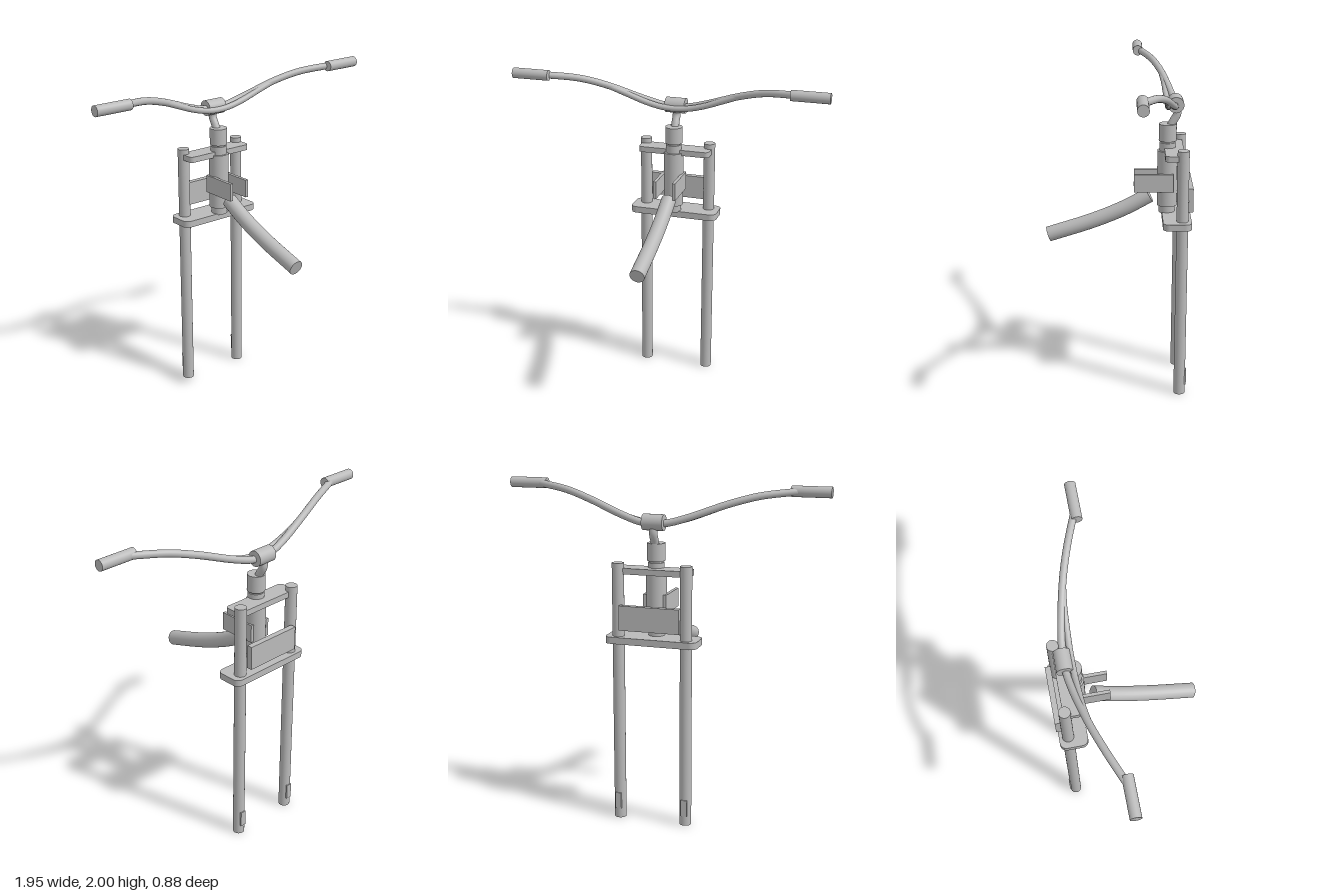
import * as THREE from 'three';

export function createModel() {
  const model = new THREE.Group();
  model.name = 'forkAssembly';
  const grey = new THREE.MeshStandardMaterial({ color: 0xbababa });
  grey.name = 'plain grey';

  const add = (name, geometry, x = 0, y = 0, z = 0, parent = model) => {
    const mesh = new THREE.Mesh(geometry, grey);
    mesh.name = name;
    mesh.position.set(x, y, z);
    parent.add(mesh);
    return mesh;
  };
  const box = (name, w, h, d, x, y, z) => add(name, new THREE.BoxGeometry(w, h, d), x, y, z);
  // upright cylinder between two heights
  const post = (name, r, y0, y1, x, z) =>
    add(name, new THREE.CylinderGeometry(r, r, y1 - y0, 32), x, (y0 + y1) / 2, z);
  // cylinder lying along x
  const bar = (name, r, length, x, y, z) => {
    const mesh = add(name, new THREE.CylinderGeometry(r, r, length, 32), x, y, z);
    mesh.rotation.z = Math.PI / 2;
  };
  // smooth tube with flat caps
  const pipe = (name, points, r, segments = 40) => {
    const group = new THREE.Group();
    group.name = name;
    model.add(group);
    const curve = new THREE.CatmullRomCurve3(points.map(p => new THREE.Vector3(...p)));
    add(name + 'Wall', new THREE.TubeGeometry(curve, segments, r, 24), 0, 0, 0, group);
    for (const t of [0, 1]) {
      const p = curve.getPoint(t);
      const out = curve.getTangent(t).multiplyScalar(t ? 1 : -1);
      const cap = add(name + 'Cap', new THREE.CircleGeometry(r, 24), p.x, p.y, p.z, group);
      cap.lookAt(p.clone().add(out));
    }
  };
  // horizontal plate with rounded corners
  const crown = (name, halfWidth, zBack, zFront, r, y0, y1) => {
    const s = new THREE.Shape();
    const w = halfWidth, a = -zFront, b = -zBack;
    s.moveTo(-w + r, a);
    s.lineTo(w - r, a);
    s.absarc(w - r, a + r, r, -Math.PI / 2, 0);
    s.absarc(w - r, b - r, r, 0, Math.PI / 2);
    s.absarc(-w + r, b - r, r, Math.PI / 2, Math.PI);
    s.absarc(-w + r, a + r, r, Math.PI, Math.PI * 1.5);
    const geometry = new THREE.ExtrudeGeometry(s, { depth: y1 - y0, bevelEnabled: false, curveSegments: 8 });
    geometry.rotateX(-Math.PI / 2);
    add(name, geometry, 0, y0, 0);
  };

  // fork legs, rear tabs, side plates and grips
  for (const side of [-1, 1]) {
    const label = side > 0 ? 'left' : 'right';
    post(label + 'ForkLeg', 0.035, 0, 1.555, side * 0.205, -0.38);
    box(label + 'LegTab', 0.036, 0.1, 0.03, side * 0.205, 0.11, -0.405);
    box(label + 'SidePlate', 0.02, 0.11, 0.235, side * 0.06, 1.315, -0.213);
    bar(label + 'Grip', 0.032, 0.23, side * 0.86, 1.968, -0.127);
  }

  // crowns and rear plate
  crown('upperCrown', 0.225, -0.39, -0.275, 0.025, 1.49, 1.525);
  crown('lowerCrown', 0.277, -0.435, -0.265, 0.04, 1.085, 1.125);
  box('rearPlate', 0.36, 0.145, 0.035, 0, 1.243, -0.427);

  // steering column: [name, radius, bottom, top]
  const column = [
    ['lowerBearing', 0.048, 1.12, 1.17],
    ['headTube', 0.06, 1.165, 1.505],
    ['upperBearing', 0.048, 1.505, 1.555],
    ['steererCore', 0.04, 1.55, 1.57],
    ['steererCap', 0.053, 1.565, 1.667],
  ];
  for (const [name, r, y0, y1] of column) post(name, r, y0, y1, 0, -0.295);

  // curved stem and bar clamp
  pipe('stem', [[0, 1.64, -0.305], [0, 1.68, -0.325], [0, 1.73, -0.35], [0, 1.79, -0.34]], 0.024, 20);
  bar('barClamp', 0.047, 0.124, 0, 1.79, -0.34);

  // handlebar: two tubes that part near the clamp
  const outer = [
    [0.8, 1.968, -0.13], [0.74, 1.963, -0.155], [0.58, 1.943, -0.215],
    [0.42, 1.9, -0.265], [0.2, 1.822, -0.315], [0.08, 1.788, -0.333],
  ];
  const mirrored = (half, middle) =>
    [...half.map(([x, y, z]) => [-x, y, z]), middle, ...[...half].reverse()];
  pipe('handlebar', mirrored(outer, [0, 1.782, -0.336]), 0.021, 96);
  const inner = [[0.42, 1.9, -0.265], [0.3, 1.853, -0.281], [0.18, 1.81, -0.288], [0.08, 1.786, -0.292]];
  pipe('handlebarFrontTube', mirrored(inner, [0, 1.78, -0.293]), 0.018, 64);

  // curved frame tube reaching forward
  pipe('frameTube', [
    [0, 1.225, -0.19], [0, 1.143, -0.04], [0, 1.063, 0.15], [0, 0.973, 0.425],
  ], 0.046);

  return model;
}
